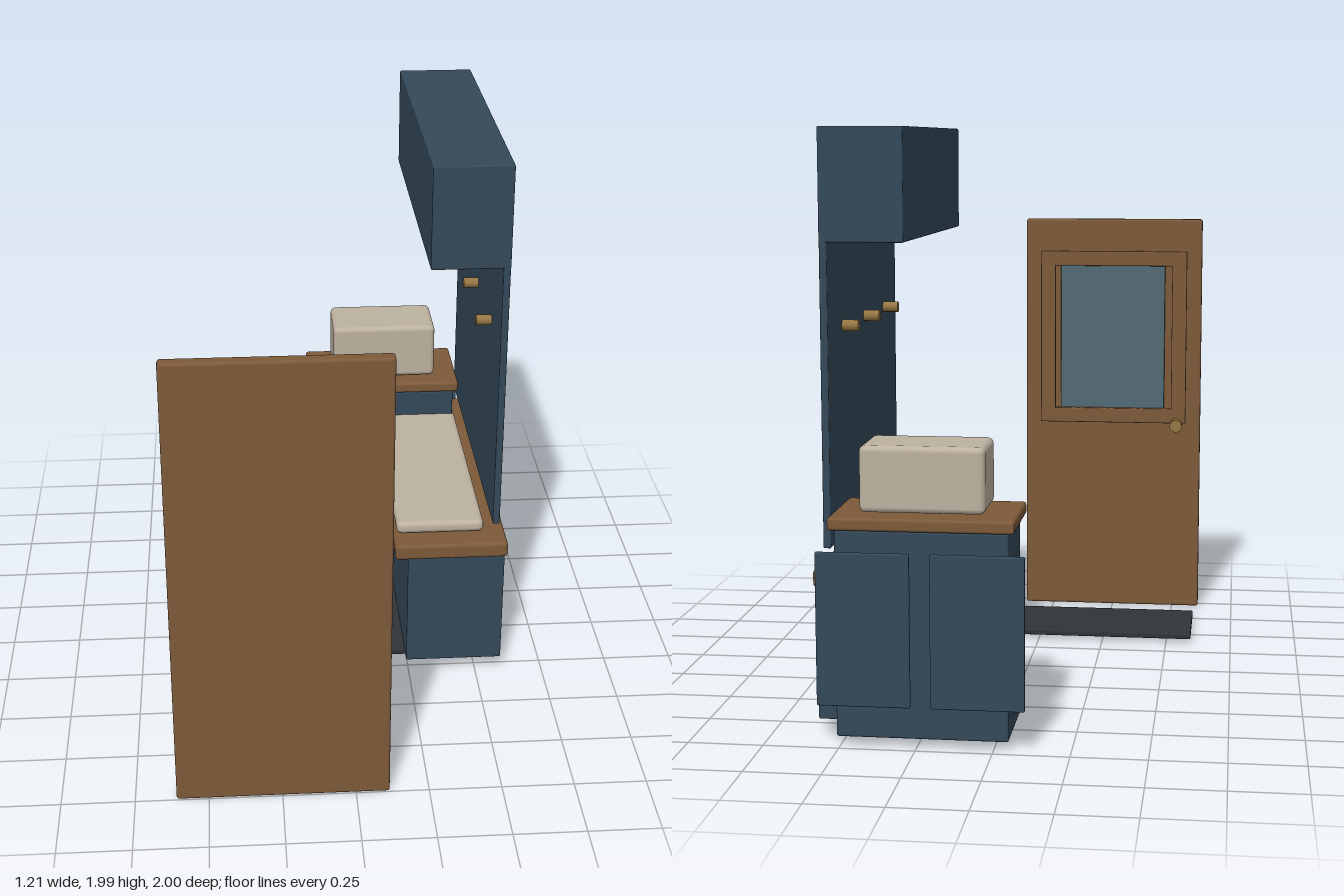
import * as THREE from 'three';
import { RoundedBoxGeometry } from 'three/addons/geometries/RoundedBoxGeometry.js';

const paint = (color) => new THREE.MeshStandardMaterial({ color });

export function createModel() {
  const model = new THREE.Group();
  model.name = 'entranceFurniture';
  const blue = paint(0x34495a), wood = paint(0x7d5a3a), cream = paint(0xbdb2a0);
  const rubber = paint(0x303436), brass = paint(0x967645), glass = paint(0x526a74);

  // Box with softened edges, given by its extents on each axis
  function box(name, material, [x0, x1], [y0, y1], [z0, z1], radius = 0.006, parent = model) {
    const geometry = new RoundedBoxGeometry(x1 - x0, y1 - y0, z1 - z0, 2, radius);
    const mesh = new THREE.Mesh(geometry, material);
    mesh.name = name;
    mesh.position.set((x0 + x1) / 2, (y0 + y1) / 2, (z0 + z1) / 2);
    parent.add(mesh);
    return mesh;
  }

  // Short round peg along x or z
  function peg(name, radius, length, axis, x, y, z, parent = model) {
    const geometry = new THREE.CylinderGeometry(radius, radius, length, 12);
    if (axis === 'x') geometry.rotateZ(Math.PI / 2);
    else geometry.rotateX(Math.PI / 2);
    const mesh = new THREE.Mesh(geometry, brass);
    mesh.name = name;
    mesh.position.set(x, y, z);
    parent.add(mesh);
  }

  // Door with framed window and knob on its inner face
  const door = new THREE.Group();
  door.name = 'door';
  model.add(door);
  box('doorLeaf', wood, [-0.61, 0.115], [0, 1.625], [0.953, 1], 0.01, door);
  box('windowPane', glass, [-0.46, -0.03], [0.84, 1.44], [0.934, 0.949], 0.004, door);
  for (const [y0, y1] of [[0.785, 0.845], [1.435, 1.495]])
    box('windowRail', wood, [-0.55, 0.05], [y0, y1], [0.904, 0.934], 0.005, door);
  for (const [x0, x1] of [[-0.55, -0.49], [-0.01, 0.05]])
    box('windowStile', wood, [x0, x1], [0.785, 1.495], [0.904, 0.934], 0.005, door);
  peg('doorKnob', 0.026, 0.06, 'z', -0.512, 0.78, 0.89, door);

  // Floor mats
  box('doorMat', rubber, [-0.595, 0.1], [0.013, 0.035], [0.38, 0.748], 0.006);
  box('benchMat', rubber, [0.1, 0.53], [0.02, 0.045], [-0.78, 0.207], 0.006);

  // Bench with wooden seat and cushion
  const bench = new THREE.Group();
  bench.name = 'bench';
  model.add(bench);
  box('benchBase', blue, [0.24, 0.595], [0.052, 0.502], [-0.868, 0.293], 0.006, bench);
  box('benchSeat', wood, [0.19, 0.602], [0.502, 0.562], [-0.897, 0.32], 0.014, bench);
  box('cushion', cream, [0.202, 0.522], [0.563, 0.611], [-0.808, 0.238], 0.02, bench);

  // Wall panel with overhead cabinet and coat hooks
  const wall = new THREE.Group();
  wall.name = 'coatWall';
  model.add(wall);
  box('wallPanel', blue, [0.545, 0.57], [0.628, 1.988], [-0.868, 0.293], 0.004, wall);
  box('overheadCabinet', blue, [0.297, 0.571], [1.622, 1.988], [-0.868, 0.293], 0.005, wall);
  for (const z of [-0.64, -0.29, 0.06])
    peg('coatHook', 0.019, 0.055, 'x', 0.5175, 1.335, z, wall);

  // Low cabinet at the back with two door panels and a storage box on top
  const cabinet = new THREE.Group();
  cabinet.name = 'sideCabinet';
  model.add(cabinet);
  box('cabinetBody', blue, [-0.05, 0.512], [0.03, 0.713], [-0.973, -0.65], 0.008, cabinet);
  box('cabinetTop', wood, [-0.07, 0.532], [0.713, 0.755], [-0.988, -0.642], 0.01, cabinet);
  for (const [x0, x1] of [[-0.105, 0.2], [0.265, 0.57]])
    box('cabinetDoor', blue, [x0, x1], [0.14, 0.645], [-1, -0.984], 0.005, cabinet);
  box('storageBox', cream, [0.03, 0.438], [0.762, 0.98], [-0.935, -0.697], 0.02, cabinet);

  return model;
}
